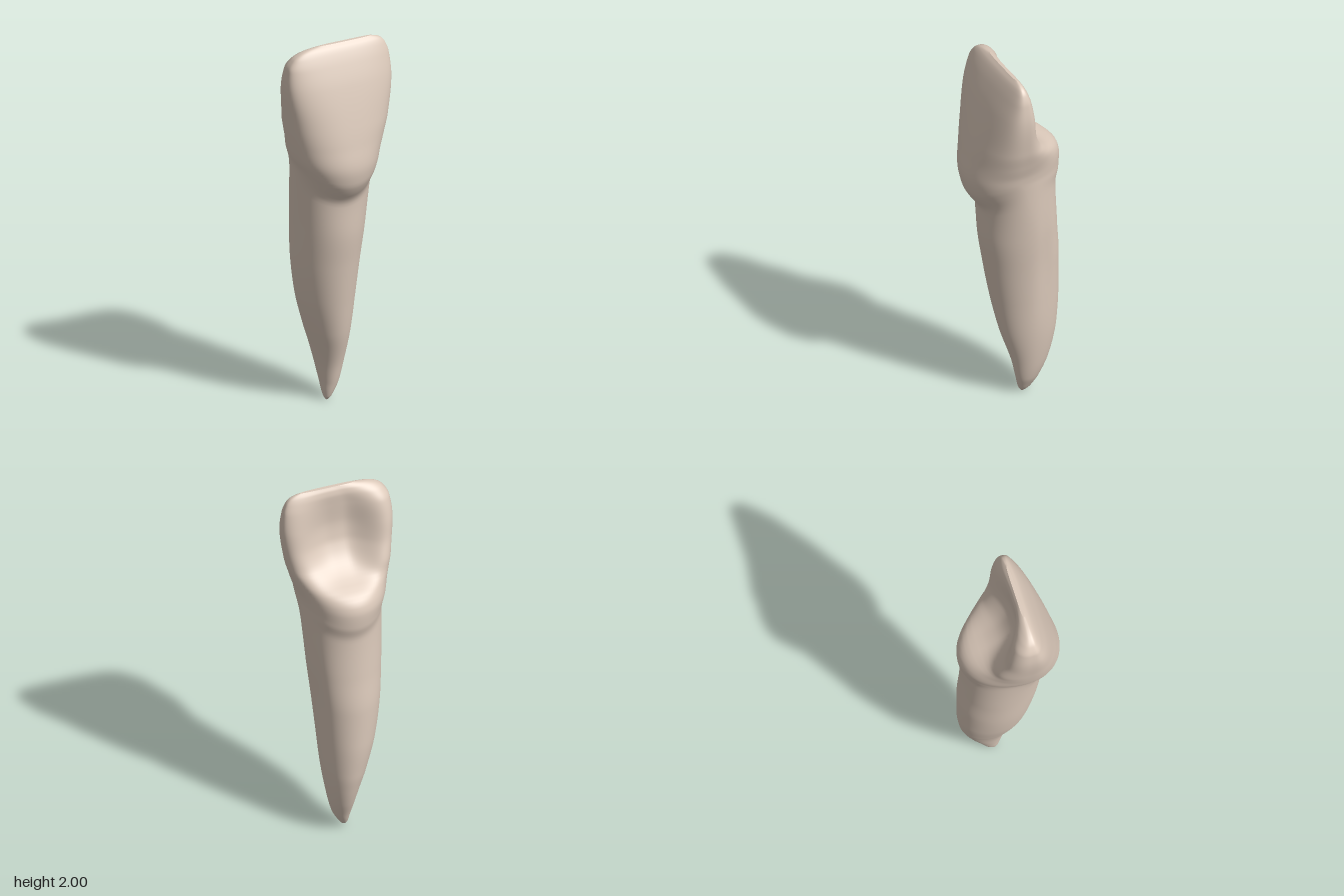
import * as THREE from 'three';

// Smooth, overshoot-free curve through flat [y, value, y, value, ...] keys
function curve(...k) {
  const n = k.length / 2, Y = i => k[2 * i], V = i => k[2 * i + 1];
  const slope = i => (V(i + 1) - V(i)) / (Y(i + 1) - Y(i));
  const tangent = i => {
    if (i === 0) return slope(0);
    if (i === n - 1) return slope(n - 2);
    const a = slope(i - 1), b = slope(i);
    return a * b <= 0 ? 0 : 2 * a * b / (a + b);
  };
  return y => {
    if (y <= Y(0)) return V(0);
    if (y >= Y(n - 1)) return V(n - 1);
    let i = 0;
    while (y > Y(i + 1)) i++;
    const h = Y(i + 1) - Y(i), t = (y - Y(i)) / h, t2 = t * t, t3 = t2 * t;
    return (2 * t3 - 3 * t2 + 1) * V(i) + (t3 - 2 * t2 + t) * h * tangent(i)
      + (3 * t2 - 2 * t3) * V(i + 1) + (t3 - t2) * h * tangent(i + 1);
  };
}

// Side outlines seen from the front
const xMin = curve(0, -0.004, 0.02, -0.014, 0.1, -0.027, 0.2, -0.045, 0.3, -0.07, 0.4, -0.1, 0.6, -0.15,
  0.8, -0.177, 1, -0.19, 1.18, -0.204, 1.25, -0.21, 1.4, -0.235, 1.6, -0.265, 1.8, -0.285,
  1.9, -0.274, 1.95, -0.245, 1.975, -0.21, 1.99, -0.165, 2, -0.1);
const xMax = curve(0, 0.006, 0.02, 0.025, 0.05, 0.043, 0.1, 0.067, 0.2, 0.092, 0.4, 0.122, 0.6, 0.14,
  0.8, 0.158, 1, 0.178, 1.18, 0.194, 1.25, 0.2, 1.4, 0.212, 1.5, 0.235, 1.6, 0.26, 1.8, 0.283,
  1.9, 0.274, 1.95, 0.258, 1.975, 0.24, 1.99, 0.215, 2, 0.18);

// Front outline with the bulge over the neck
const zFront = curve(0, -0.06, 0.02, -0.045, 0.1, -0.022, 0.2, 0, 0.4, 0.06, 0.6, 0.1, 0.8, 0.133, 1, 0.162,
  1.16, 0.17, 1.19, 0.18, 1.24, 0.215, 1.3, 0.245, 1.38, 0.257, 1.5, 0.238, 1.6, 0.217, 1.8, 0.163,
  1.9, 0.126, 1.95, 0.103, 1.98, 0.085, 2, 0.066);

// Back outline at the middle (scooped) and along the two raised margins
const rootBack = [0, -0.075, 0.02, -0.1, 0.05, -0.12, 0.1, -0.145, 0.2, -0.19, 0.3, -0.22, 0.4, -0.24,
  0.6, -0.255, 0.8, -0.255, 1, -0.24, 1.2, -0.23, 1.3, -0.25, 1.4, -0.255, 1.45, -0.245];
const zBack = curve(...rootBack, 1.5, -0.205, 1.52, -0.165, 1.55, -0.105, 1.6, -0.04, 1.65, -0.002,
  1.7, 0.022, 1.8, 0.038, 1.9, 0.034, 1.95, 0.032, 1.98, 0.038, 2, 0.05);
const zMarginR = curve(...rootBack, 1.5, -0.21, 1.55, -0.175, 1.6, -0.16, 1.7, -0.115, 1.8, -0.09,
  1.9, -0.055, 1.95, -0.015, 1.98, 0.02, 2, 0.048);
const zMarginL = curve(...rootBack, 1.5, -0.205, 1.55, -0.145, 1.6, -0.09, 1.7, -0.045, 1.8, -0.028,
  1.9, -0.005, 1.95, 0.015, 1.98, 0.032, 2, 0.05);

// Depth of the widest line, and how square each half of the section is
const zWide = curve(0, -0.067, 0.2, -0.09, 0.6, -0.075, 1, -0.05, 1.2, 0, 1.35, 0.045, 1.8, 0.052, 2, 0.057);
const frontPower = curve(0, 2, 1.3, 2, 1.6, 2.4, 1.8, 2.8, 2, 3);
const backPower = curve(0, 2, 1.45, 2, 1.6, 2.8, 1.8, 3, 2, 3);

const SIDES = 112, RINGS = 170;

function toothPoint(y, angle, scale) {
  const a = Math.cos(angle), front = Math.sin(angle) >= 0;
  const x0 = xMin(y), x1 = xMax(y), zw = zWide(y);
  const n = front ? frontPower(y) : backPower(y);
  const rise = Math.pow(Math.max(0, 1 - Math.pow(Math.abs(a), n)), 1 / n);
  const margin = THREE.MathUtils.smoothstep(Math.abs(a), 0.12, 0.92);
  const edge = a < 0 ? zMarginR(y) : zMarginL(y);
  const limit = front ? zFront(y) : THREE.MathUtils.lerp(zBack(y), edge, margin);
  let x = (x0 + x1) / 2 + a * (x1 - x0) / 2;
  let z = zw + (limit - zw) * rise;
  // Shallow lengthwise groove on the left of the root
  if (a > 0) x -= 0.014 * a * Math.exp(-(((z + 0.13) / 0.05) ** 2) - ((y - 0.85) / 0.3) ** 2);
  // The neck line arches up at the sides and a little at the back
  const neck = Math.exp(-(((y - 1.22) / 0.15) ** 2));
  const lift = 0.09 * a * a + (front ? 0 : 0.04 * (1 - a * a));
  const cx = (x0 + x1) / 2, cz = (zFront(y) + zBack(y)) / 2;
  return [cx + (x - cx) * scale, y + lift * neck, cz + (z - cz) * scale];
}

// Loft of closed rings, pinched shut at both ends
function toothGeometry() {
  const positions = [], index = [];
  for (let k = -1; k <= RINGS + 1; k++) {
    const y = 1 - Math.cos(Math.PI * THREE.MathUtils.clamp(k / RINGS, 0, 1));
    const scale = k < 0 || k > RINGS ? 0 : 1;
    for (let j = 0; j < SIDES; j++) positions.push(...toothPoint(y, j / SIDES * Math.PI * 2, scale));
  }
  for (let k = 0; k < RINGS + 2; k++) {
    for (let j = 0; j < SIDES; j++) {
      const a = k * SIDES + j, c = k * SIDES + (j + 1) % SIDES;
      index.push(a, a + SIDES, c, c, a + SIDES, c + SIDES);
    }
  }
  const geometry = new THREE.BufferGeometry();
  geometry.setAttribute('position', new THREE.Float32BufferAttribute(positions, 3));
  geometry.setIndex(index);
  geometry.computeVertexNormals();
  return geometry;
}

export function createModel() {
  const group = new THREE.Group();
  group.name = 'incisorTooth';
  const ivory = new THREE.MeshStandardMaterial({ color: 0xdccabb });
  ivory.name = 'ivory';
  const tooth = new THREE.Mesh(toothGeometry(), ivory);
  tooth.name = 'crownAndRoot';
  group.add(tooth);
  return group;
}
